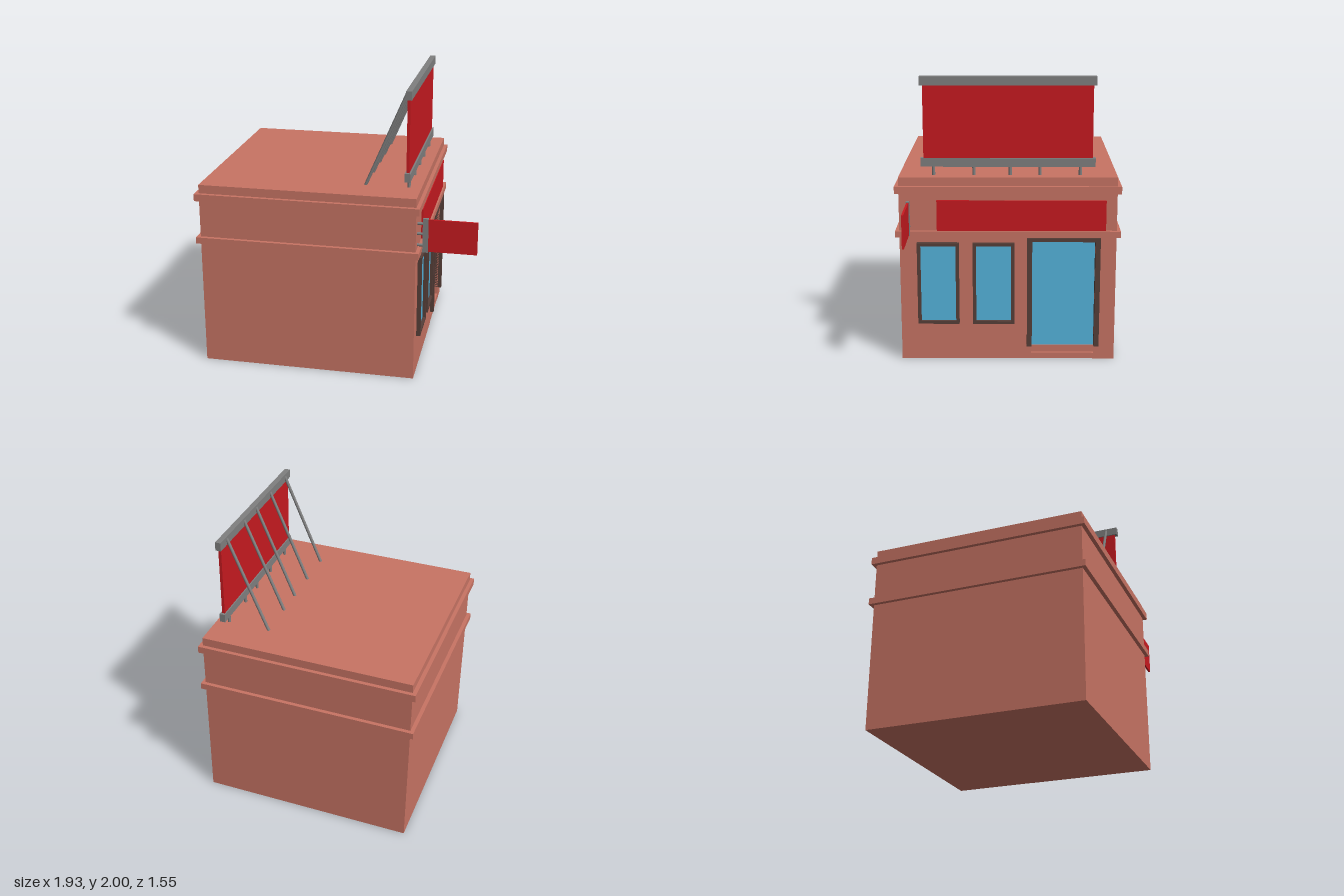
import * as THREE from 'three';

const mat = (color) => new THREE.MeshStandardMaterial({ color });

export function createModel() {
  const model = new THREE.Group();
  const brick = mat(0xc87464), red = mat(0xc81a20), glass = mat(0x55b4dd);
  const frame = mat(0x573f39), steel = mat(0x808080);

  const add = (name, geo, material, parent = model) => {
    const mesh = new THREE.Mesh(geo, material);
    mesh.name = name;
    parent.add(mesh);
    return mesh;
  };
  // Box given by its limits on each axis
  const box = (name, material, [x0, x1], [y0, y1], [z0, z1], parent) => {
    const m = add(name, new THREE.BoxGeometry(x1 - x0, y1 - y0, z1 - z0), material, parent);
    m.position.set((x0 + x1) / 2, (y0 + y1) / 2, (z0 + z1) / 2);
    return m;
  };
  // Round bar between two points
  const bar = (name, a, b, r, parent) => {
    const dir = b.clone().sub(a);
    const m = add(name, new THREE.CylinderGeometry(r, r, dir.length(), 12), steel, parent);
    m.position.copy(a).add(b).multiplyScalar(0.5);
    m.quaternion.setFromUnitVectors(new THREE.Vector3(0, 1, 0), dir.normalize());
  };
  const v = (x, y, z) => new THREE.Vector3(x, y, z);

  // Walls: a plan with a shallow door alcove, and a solid block above it
  const plan = new THREE.Shape();
  [[-0.94, -0.75], [0.56, -0.75], [0.56, 0.165], [0.51, 0.165], [0.51, 0.605],
    [0.56, 0.605], [0.56, 0.75], [-0.94, 0.75]]
    .forEach(([x, y], i) => (i ? plan.lineTo(x, y) : plan.moveTo(x, y)));
  const lower = new THREE.ExtrudeGeometry(plan, { depth: 0.88, bevelEnabled: false });
  lower.rotateX(-Math.PI / 2);
  add('lowerWalls', lower, brick);
  box('upperWalls', brick, [-0.94, 0.56], [0.88, 1.32], [-0.75, 0.75]);

  // Cornice bands
  for (const [y0, y1] of [[0.9, 0.945], [1.21, 1.26]]) {
    box('corniceBand', brick, [-0.967, 0.585], [y0, y1], [-0.777, 0.777]);
  }

  // Windows
  for (const z of [0.485, 0.1]) {
    const win = new THREE.Group();
    win.name = 'window';
    model.add(win);
    const outline = new THREE.Shape();
    outline.moveTo(-0.145, 0.27).lineTo(0.145, 0.27).lineTo(0.145, 0.86).lineTo(-0.145, 0.86);
    const hole = new THREE.Path();
    hole.moveTo(-0.122, 0.29).lineTo(-0.122, 0.838).lineTo(0.122, 0.838).lineTo(0.122, 0.29);
    outline.holes.push(hole);
    const geo = new THREE.ExtrudeGeometry(outline, { depth: 0.04, bevelEnabled: false });
    geo.rotateY(Math.PI / 2);
    add('windowFrame', geo, frame, win).position.set(0.548, 0, z);
    box('windowGlass', glass, [0.55, 0.566], [0.285, 0.843], [z - 0.125, z + 0.125], win);
  }

  // Door with jambs, lintel and two steps
  const door = new THREE.Group();
  door.name = 'door';
  model.add(door);
  box('doorGlass', glass, [0.505, 0.525], [0.09, 0.875], [-0.61, -0.16], door);
  box('doorJamb', frame, [0.525, 0.587], [0.1, 0.897], [-0.168, -0.133], door);
  box('doorJamb', frame, [0.525, 0.587], [0.1, 0.897], [-0.64, -0.605], door);
  box('doorLintel', frame, [0.525, 0.587], [0.87, 0.897], [-0.605, -0.168], door);
  box('lowerStep', brick, [0.505, 0.558], [0, 0.042], [-0.605, -0.165], door);
  box('upperStep', brick, [0.505, 0.534], [0.042, 0.09], [-0.605, -0.165], door);

  // Shop sign panel on the wall
  box('wallSign', red, [0.55, 0.572], [0.945, 1.16], [-0.675, 0.49]);

  // Projecting blade sign
  const blade = new THREE.Group();
  blade.name = 'bladeSign';
  model.add(blade);
  box('bladePanel', red, [0.63, 0.963], [0.932, 1.16], [0.675, 0.689], blade);
  box('bladePost', steel, [0.597, 0.635], [0.926, 1.165], [0.671, 0.694], blade);
  for (const y of [0.975, 1.055, 1.127]) {
    bar('bladeArm', v(0.55, y, 0.682), v(0.605, y, 0.682), 0.01, blade);
  }

  // Rooftop billboard on posts and slanted braces
  const billboard = new THREE.Group();
  billboard.name = 'billboard';
  model.add(billboard);
  box('billboardPanel', red, [0.464, 0.484], [1.43, 1.95], [-0.58, 0.58], billboard);
  for (const y of [1.38, 1.94]) {
    box('billboardBeam', steel, [0.455, 0.495], [y, y + 0.06], [-0.6, 0.6], billboard);
  }
  for (const z of [0.512, 0.235, -0.015, -0.22, -0.497]) {
    bar('billboardPost', v(0.474, 1.31, z), v(0.474, 1.4, z), 0.011, billboard);
    bar('billboardBrace', v(0.172, 1.31, z), v(0.46, 1.985, z), 0.011, billboard);
  }
  return model;
}
